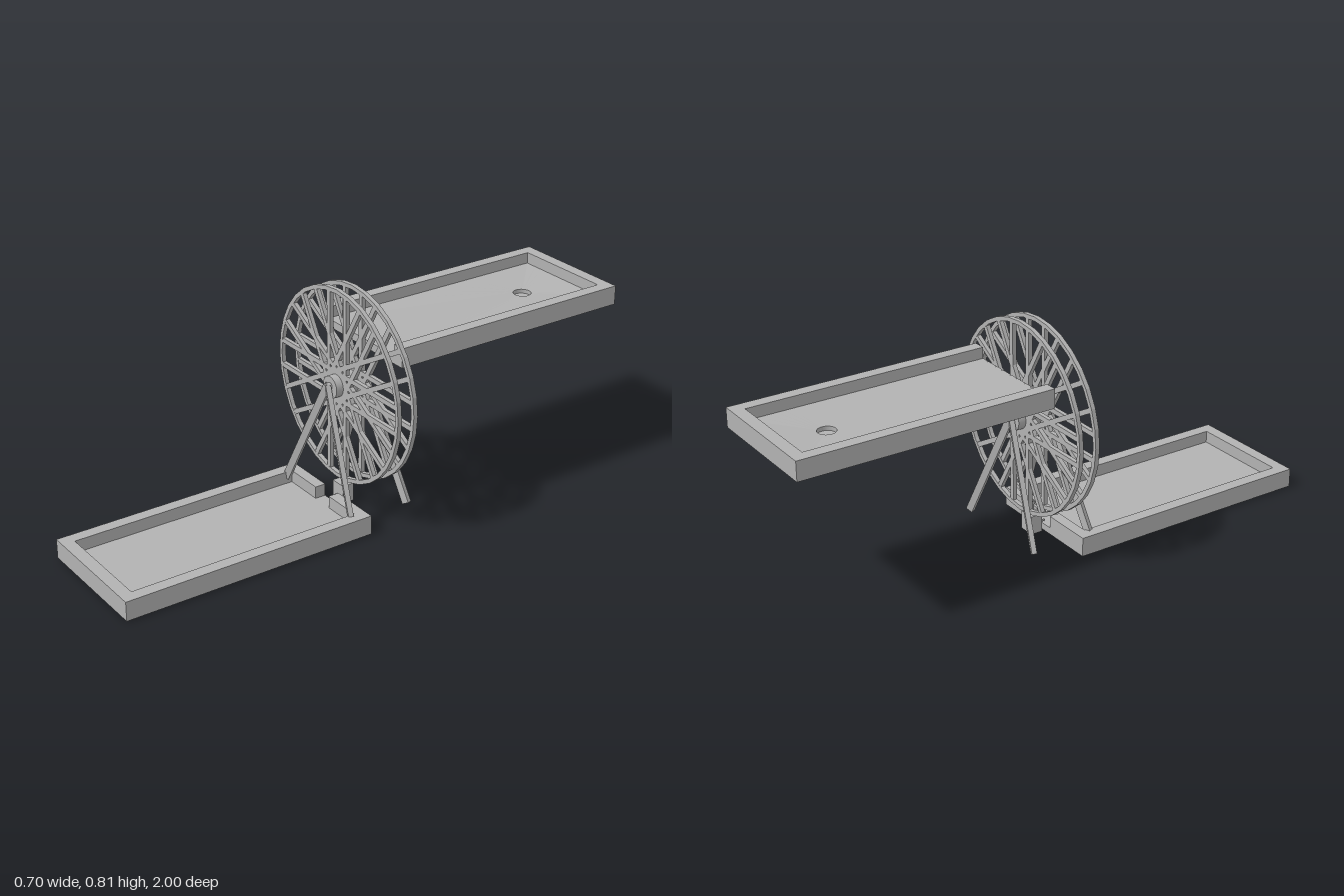
import * as THREE from 'three';

const grey = new THREE.MeshStandardMaterial({ color: 0xb2b2b2 });
grey.name = 'plain grey';

function add(parent, name, geometry, x = 0, y = 0, z = 0) {
  const mesh = new THREE.Mesh(geometry, grey);
  mesh.name = name;
  mesh.position.set(x, y, z);
  parent.add(mesh);
  return mesh;
}

// Box given by its minimum and maximum corners
function block(parent, name, a, b) {
  return add(parent, name, new THREE.BoxGeometry(b[0] - a[0], b[1] - a[1], b[2] - a[2]),
    (a[0] + b[0]) / 2, (a[1] + b[1]) / 2, (a[2] + b[2]) / 2);
}

// Square bar running between two points
function bar(parent, name, from, to, width, depth) {
  const a = new THREE.Vector3(...from), b = new THREE.Vector3(...to);
  const mesh = add(parent, name, new THREE.BoxGeometry(width, a.distanceTo(b), depth));
  mesh.position.copy(a).add(b).multiplyScalar(0.5);
  mesh.quaternion.setFromUnitVectors(new THREE.Vector3(0, 1, 0), b.clone().sub(a).normalize());
  return mesh;
}

function circle(path, radius, sides) {
  for (let i = 0; i <= sides; i++) {
    const t = (i / sides) * Math.PI * 2;
    const x = radius * Math.cos(t), y = radius * Math.sin(t);
    if (i) path.lineTo(x, y); else path.moveTo(x, y);
  }
  return path;
}

const W = 0.235, IN = 0.19; // tray outer and inner half widths

// Side rims and far rim; dir is the side of the wheel the tray lies on
function trayRims(tray, y, dir) {
  const zs = (p, q) => [Math.min(p * dir, q * dir), Math.max(p * dir, q * dir)];
  const [s0, s1] = zs(0.06, 1), [e0, e1] = zs(0.955, 1);
  for (const s of [-1, 1]) {
    block(tray, 'sideRim', [s < 0 ? -W : IN, y, s0], [s < 0 ? -IN : W, y + 0.07, s1]);
  }
  block(tray, 'endRim', [-IN, y, e0], [IN, y + 0.07, e1]);
}

// Floor sloping gently from the rims down to the drain hole
function funnelFloor(y, drainZ, radius) {
  const pos = [], idx = [], n = 48;
  for (let i = 0; i <= n; i++) {
    const t = (i / n) * Math.PI * 2 + Math.PI / 4;
    const c = Math.cos(t), s = Math.sin(t);
    const k = 1 / Math.max(Math.abs(c), Math.abs(s));
    const rz = s > 0 ? -0.06 - drainZ : 0.955 + drainZ;
    pos.push(c * k * IN, y, drainZ + s * k * rz);
    pos.push(c * radius, y - 0.01, drainZ + s * radius);
    pos.push(c * radius, y - 0.025, drainZ + s * radius);
    if (i < n) {
      const a = i * 3, b = a + 3;
      for (const j of [0, 1]) idx.push(a + j, a + j + 1, b + j, a + j + 1, b + j + 1, b + j);
    }
  }
  const g = new THREE.BufferGeometry();
  g.setAttribute('position', new THREE.Float32BufferAttribute(pos, 3));
  g.setIndex(idx);
  const flat = g.toNonIndexed();
  flat.computeVertexNormals();
  // Turn the corner order so the floor faces up
  if (flat.attributes.normal.getY(0) < 0) {
    g.setIndex(idx.reverse());
    const turned = g.toNonIndexed();
    turned.computeVertexNormals();
    return turned;
  }
  return flat;
}

function makeWheel() {
  const wheel = new THREE.Group();
  wheel.name = 'wheelDisc';
  const ring = circle(new THREE.Shape(), 0.349, 32);
  ring.holes.push(circle(new THREE.Path(), 0.334, 32));
  add(wheel, 'rim', new THREE.ExtrudeGeometry(ring, { depth: 0.016, bevelEnabled: false }), 0, 0, -0.008);
  // Six pairs of parallel bars cross the whole wheel
  for (let i = 0; i < 6; i++) {
    const t = (i * Math.PI) / 6;
    for (const s of [-0.047, 0.047]) {
      const spoke = add(wheel, 'spoke', new THREE.BoxGeometry(0.676, 0.018, 0.015),
        -Math.sin(t) * s, Math.cos(t) * s, 0);
      spoke.rotation.z = t;
    }
  }
  return wheel;
}

export function createModel() {
  const model = new THREE.Group();
  model.name = 'waterWheel';

  // Lower tray with a notched rim at the wheel end
  const lower = new THREE.Group();
  lower.name = 'lowerTray';
  model.add(lower);
  trayRims(lower, 0, 1);
  block(lower, 'floor', [-IN, 0, 0.06], [IN, 0.025, 0.955]);
  for (const s of [-1, 1]) {
    block(lower, 'notchedRim', [s < 0 ? -IN : 0.04, 0.025, 0.06], [s < 0 ? -0.04 : IN, 0.07, 0.1]);
  }

  // Upper tray, open towards the wheel, with a drain
  const upper = new THREE.Group();
  upper.name = 'upperTray';
  model.add(upper);
  trayRims(upper, 0.586, -1);
  block(upper, 'base', [-IN, 0.586, -0.955], [IN, 0.59, -0.06]);
  add(upper, 'funnelFloor', funnelFloor(0.615, -0.77, 0.032));
  block(upper, 'floorEdge', [-IN, 0.59, -0.065], [IN, 0.615, -0.06]);

  // Twin wheel on a common hub
  const axleY = 0.46;
  for (const z of [0.031, -0.033]) {
    const wheel = makeWheel();
    wheel.position.set(0, axleY, z);
    model.add(wheel);
  }
  const hub = add(model, 'hub', new THREE.CylinderGeometry(0.04, 0.04, 0.135, 32), 0, axleY, -0.002);
  hub.rotation.x = Math.PI / 2;
  const axle = add(model, 'axle', new THREE.CylinderGeometry(0.013, 0.013, 0.165, 16), 0, axleY + 0.005, 0);
  axle.rotation.x = Math.PI / 2;

  // Splayed A-frame legs
  for (const sz of [-1, 1]) {
    for (const sx of [-1, 1]) {
      bar(model, 'leg', [0, 0.47, sz * 0.075], [sx * 0.198, 0.048, sz * 0.116], 0.026, 0.018);
    }
  }

  // Small pump box with a thin riser under the wheel
  const pump = new THREE.Group();
  pump.name = 'pump';
  model.add(pump);
  block(pump, 'pumpBox', [-0.03, 0.015, -0.011], [0.03, 0.083, 0.034]);
  block(pump, 'riser', [-0.0015, 0.083, 0.003], [0.0015, 0.114, 0.02]);
  block(pump, 'riserCap', [-0.0015, 0.113, -0.012], [0.0015, 0.126, 0.034]);
  block(pump, 'inletPipe', [-0.004, 0.036, 0.034], [0.004, 0.041, 0.065]);

  return model;
}
